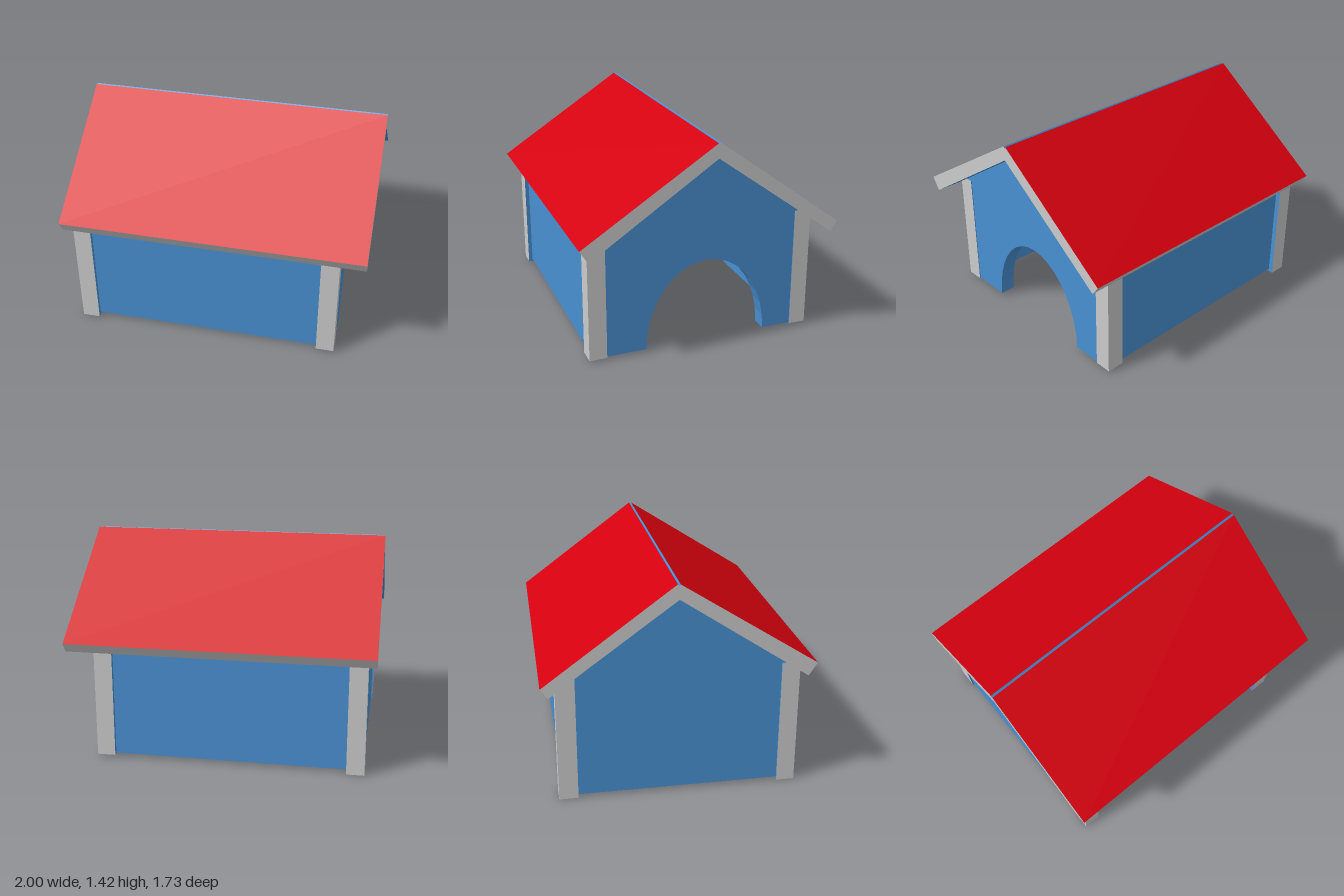
import * as THREE from 'three';

const grey = new THREE.MeshStandardMaterial({ color: 0xcccccc });
const blue = new THREE.MeshStandardMaterial({ color: 0x4990d2 });
const red = new THREE.MeshStandardMaterial({ color: 0xd5000e });

// Box given by its min and max on each axis
function box(name, [x0, x1], [y0, y1], [z0, z1], material) {
  const mesh = new THREE.Mesh(new THREE.BoxGeometry(x1 - x0, y1 - y0, z1 - z0), material);
  mesh.position.set((x0 + x1) / 2, (y0 + y1) / 2, (z0 + z1) / 2);
  mesh.name = name;
  return mesh;
}

// Gabled end wall drawn in (z, y), optionally with an arched doorway
function gableWall(name, [x0, x1], hasDoor) {
  const base = 0.02;
  const points = [[0.745, base], [0.745, 0.84], [-0.015, 1.35], [-0.74, 0.82], [-0.74, base]];
  if (hasDoor) {
    const segments = 18;
    for (let i = 0; i <= segments; i++) {
      const a = Math.PI * (1 - i / segments);
      points.push([-0.03 + 0.417 * Math.cos(a), base + 0.57 * Math.sin(a)]);
    }
  }
  const shape = new THREE.Shape(points.map(([z, y]) => new THREE.Vector2(z, y)));
  const geometry = new THREE.ExtrudeGeometry(shape, { depth: x1 - x0, bevelEnabled: false });
  geometry.rotateY(-Math.PI / 2); // shape x runs along z, depth runs towards -x
  const mesh = new THREE.Mesh(geometry, blue);
  mesh.position.x = x1;
  mesh.name = name;
  return mesh;
}

// Sloping roof slab whose top runs from ridge to eave, both [z, y], slightly tapered
function roofSlab(name, ridge, eave, ridgeThickness, eaveThickness) {
  const dz = eave[0] - ridge[0], dy = eave[1] - ridge[1];
  const side = Math.sign(dz);
  const length = Math.hypot(dz, dy);
  const geometry = new THREE.BoxGeometry(2, 1, length);
  geometry.translate(0, -0.5, side * length / 2);
  const position = geometry.attributes.position;
  for (let i = 0; i < position.count; i++) {
    const atEave = Math.abs(position.getZ(i)) > length / 2;
    position.setY(i, position.getY(i) * (atEave ? eaveThickness : ridgeThickness));
  }
  geometry.computeVertexNormals();
  // Red top, blue underside and ridge end, grey outer edges
  const mesh = new THREE.Mesh(geometry, [
    grey, grey, red, blue, side > 0 ? grey : blue, side > 0 ? blue : grey,
  ]);
  mesh.position.set(0, ridge[1], ridge[0]);
  mesh.rotation.x = side * Math.atan2(-dy, Math.abs(dz));
  mesh.name = name;
  return mesh;
}

export function createModel() {
  const house = new THREE.Group();
  house.name = 'kennel';

  // Walls, open underneath
  house.add(gableWall('doorWall', [0.72, 0.825], true));
  house.add(gableWall('endWall', [-0.935, -0.83], false));
  house.add(box('frontWall', [-0.83, 0.72], [0.02, 0.86], [0.655, 0.745], blue));
  house.add(box('backWall', [-0.83, 0.72], [0.02, 0.855], [-0.74, -0.65], blue));

  // Corner posts: grey outside, blue on the hidden faces
  for (const [sx, xs, y0, back] of [[1, [0.71, 0.83], 0.013, -0.765], [-1, [-0.945, -0.828], 0, -0.773]]) {
    for (const [sz, zs] of [[1, [0.655, 0.773]], [-1, [back, -0.65]]]) {
      const materials = [
        sx > 0 ? grey : blue, sx > 0 ? blue : grey, blue, blue,
        sz > 0 ? grey : blue, sz > 0 ? blue : grey,
      ];
      const name = (sz > 0 ? 'front' : 'back') + (sx > 0 ? 'Left' : 'Right') + 'Post';
      house.add(box(name, xs, [y0, 0.84], zs, materials));
    }
  }

  // Roof
  house.add(roofSlab('frontRoof', [-0.013, 1.42], [0.865, 0.855], 0.082, 0.101));
  house.add(roofSlab('backRoof', [-0.03, 1.42], [-0.864, 0.805], 0.085, 0.08));
  return house;
}
